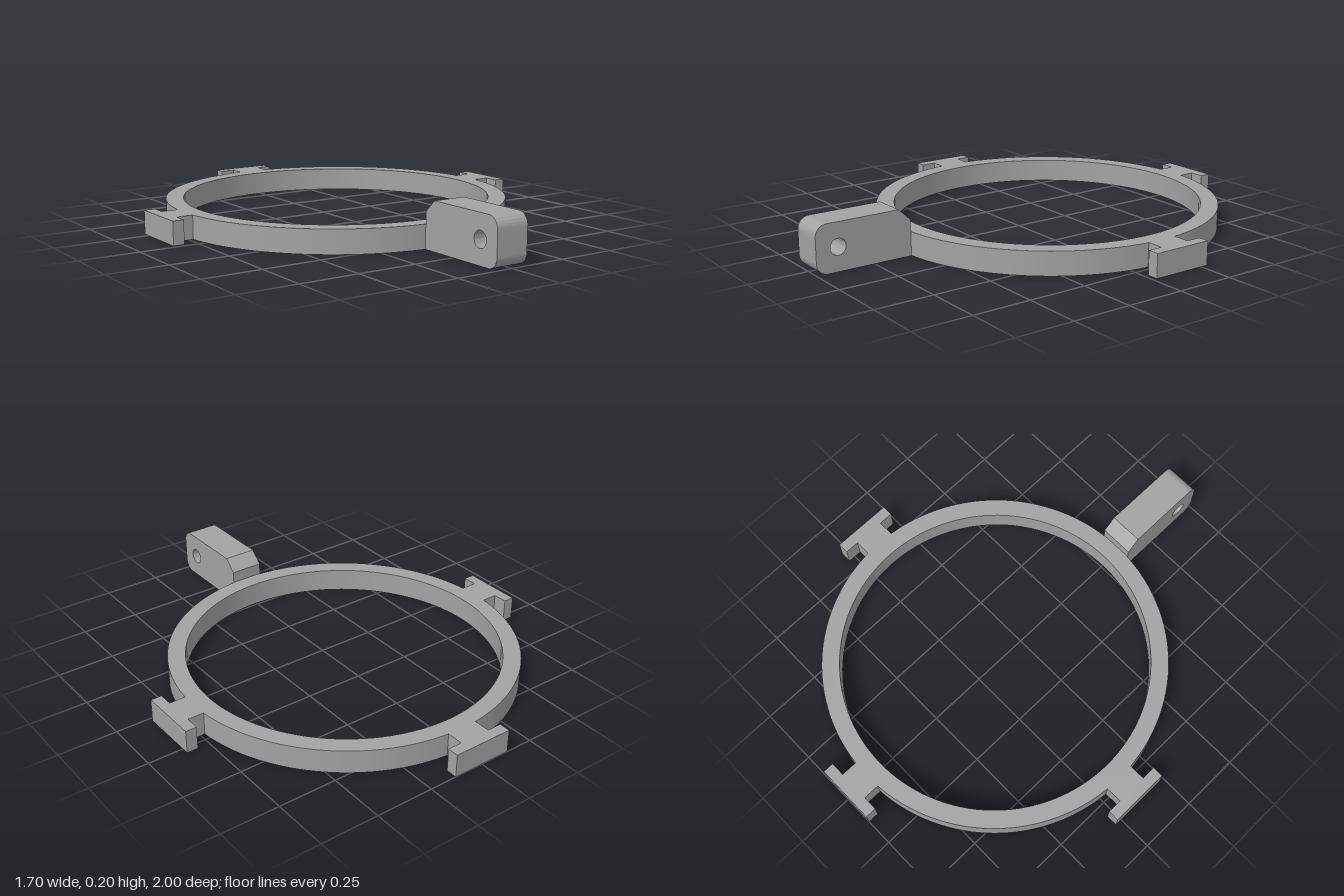
import * as THREE from 'three';
import { toCreasedNormals } from 'three/addons/utils/BufferGeometryUtils.js';

const CENTER_Z = -0.15, OUTER = 0.735, INNER = 0.66, RING_HEIGHT = 0.1;

// Extrude a shape and keep arcs smooth with sharp edges
function extrude(shape, depth, curveSegments) {
  const geometry = new THREE.ExtrudeGeometry(shape, { depth, curveSegments, bevelEnabled: false });
  return toCreasedNormals(geometry, 0.5);
}

// Ring outline with three T-shaped tabs (right, back, left) and an open front arc
function ringShape() {
  const stem = 0.068, bar = 0.131, barInner = 0.802, barOuter = 0.85;
  const half = Math.asin(stem / OUTER), root = OUTER * Math.cos(half);
  const tab = [
    [root, -stem], [barInner, -stem], [barInner, -bar], [barOuter, -bar],
    [barOuter, bar], [barInner, bar], [barInner, stem], [root, stem],
  ];
  const shape = new THREE.Shape();
  for (let k = 0; k < 3; k++) {
    const angle = k * Math.PI / 2, c = Math.cos(angle), s = Math.sin(angle);
    tab.forEach(([r, t], i) => {
      const x = r * c - t * s, y = r * s + t * c;
      if (k === 0 && i === 0) shape.moveTo(x, y);
      else if (i > 0) shape.lineTo(x, y);
    });
    const next = k < 2 ? angle + Math.PI / 2 : Math.PI * 2;
    shape.absarc(0, 0, OUTER, angle + half, next - half, false);
  }
  shape.holes.push(new THREE.Path().absarc(0, 0, INNER, 0, Math.PI * 2, true));
  return shape;
}

// Side profile of the lug: chamfered at the ring, rounded at the tip, with a pin hole
function lugShape() {
  const back = 0.583, tip = 1, top = 0.2, r = 0.048;
  const shape = new THREE.Shape();
  shape.moveTo(back, 0);
  shape.lineTo(tip - r, 0);
  shape.absarc(tip - r, r, r, -Math.PI / 2, 0, false);
  shape.lineTo(tip, top - r);
  shape.absarc(tip - r, top - r, r, 0, Math.PI / 2, false);
  shape.lineTo(0.636, top);
  shape.lineTo(back, 0.15);
  shape.closePath();
  shape.holes.push(new THREE.Path().absarc(0.905, 0.1, 0.034, 0, Math.PI * 2, true));
  return shape;
}

export function createModel() {
  const group = new THREE.Group();
  group.name = 'mountingRing';
  const grey = new THREE.MeshStandardMaterial({ color: 0xa3a3a3 });
  grey.name = 'grey';

  const ring = new THREE.Mesh(extrude(ringShape(), RING_HEIGHT, 64), grey);
  ring.name = 'ringWithTabs';
  ring.geometry.rotateX(-Math.PI / 2).translate(0, 0, CENTER_Z);

  const lugWidth = 0.144;
  const lug = new THREE.Mesh(extrude(lugShape(), lugWidth, 20), grey);
  lug.name = 'frontLug';
  lug.geometry.translate(0, 0, -lugWidth / 2).rotateY(-Math.PI / 2);

  group.add(ring, lug);
  return group;
}
